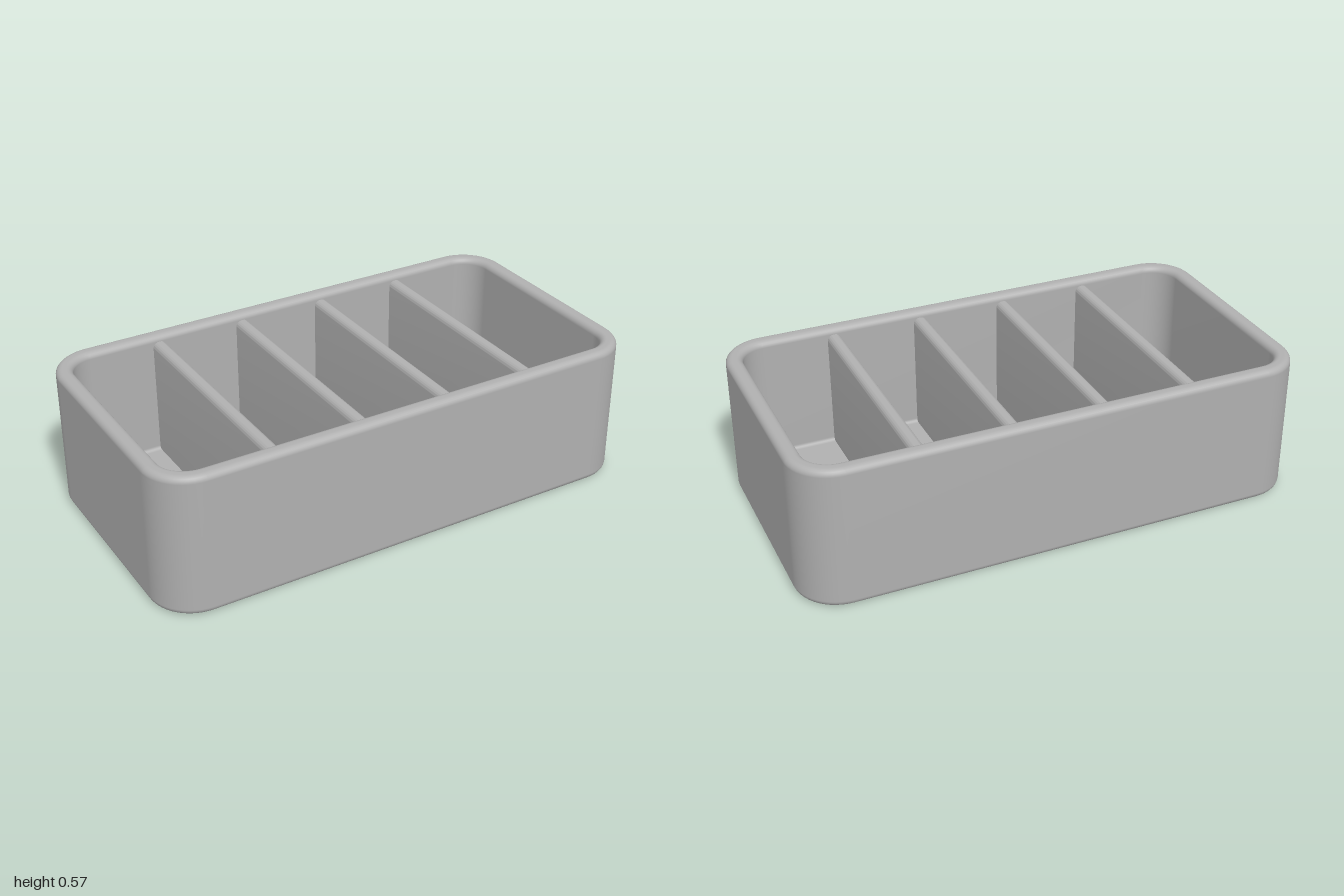
import * as THREE from 'three';
import { toCreasedNormals } from 'three/addons/utils/BufferGeometryUtils.js';

const W = 1, D = 0.53, H = 0.567;            // half width, half depth, height
const WALL = 0.065, FLOOR = 0.065, CORNER = 0.17, EDGE = 0.025;

// Rounded rectangle outline in x/z, pulled in by inset
function outline(inset, y) {
  const r = CORNER - inset, n = 12, pts = [];
  [[1, 1], [-1, 1], [-1, -1], [1, -1]].forEach(([sx, sz], q) => {
    for (let k = 0; k <= n; k++) {
      const a = (q + k / n) * Math.PI / 2;
      pts.push([sx * (W - CORNER) + r * Math.cos(a), y, sz * (D - CORNER) + r * Math.sin(a)]);
    }
  });
  return pts;
}

// Quarter-round steps of the wall section as [inset, y]
function arc(cx, cy, r, from, to) {
  return Array.from({ length: 7 }, (_, k) => {
    const a = from + (to - from) * k / 6;
    return [cx + r * Math.cos(a), cy + r * Math.sin(a)];
  });
}

// One closed skin: underside, outer wall, rim, inner wall, tray floor
function trayGeometry() {
  const P = Math.PI;
  const section = [
    ...arc(EDGE, EDGE, EDGE, 1.5 * P, P),
    ...arc(EDGE, H - EDGE, EDGE, P, P / 2),
    ...arc(WALL - EDGE, H - EDGE, EDGE, P / 2, 0),
    ...arc(WALL + 0.015, FLOOR + 0.015, 0.015, P, 1.5 * P),
  ];
  const rings = section.map(([inset, y]) => outline(inset, y));
  const n = rings[0].length;
  const centre = y => Array.from({ length: n }, () => [0, y, 0]);
  rings.unshift(centre(0));
  rings.push(centre(FLOOR));
  const index = [];
  for (let i = 0; i < rings.length - 1; i++) {
    for (let j = 0; j < n; j++) {
      const a = i * n + j, b = i * n + (j + 1) % n, c = a + n, d = b + n;
      index.push(a, c, b, b, c, d);
    }
  }
  const geo = new THREE.BufferGeometry();
  geo.setAttribute('position', new THREE.Float32BufferAttribute(rings.flat(2), 3));
  geo.setIndex(index);
  geo.computeVertexNormals();
  return geo;
}

// Thin upright wall with a rounded top
function dividerGeometry() {
  const h = 0.0275, top = 0.542, r = 0.025, length = 0.945;
  const s = new THREE.Shape();
  s.moveTo(-h, FLOOR - 0.01);
  s.lineTo(h, FLOOR - 0.01);
  s.lineTo(h, top - r);
  s.absarc(h - r, top - r, r, 0, Math.PI / 2, false);
  s.absarc(r - h, top - r, r, Math.PI / 2, Math.PI, false);
  s.closePath();
  const geo = new THREE.ExtrudeGeometry(s, { depth: length, bevelEnabled: false, curveSegments: 8 });
  geo.translate(0, 0, -length / 2);
  return toCreasedNormals(geo, 0.6);
}

export function createModel() {
  const group = new THREE.Group();
  group.name = 'dividedTray';
  const grey = new THREE.MeshStandardMaterial({ color: 0xb0b0b0 });
  grey.name = 'grey';

  const tray = new THREE.Mesh(trayGeometry(), grey);
  tray.name = 'tray';
  group.add(tray);

  // Four dividers make five compartments
  const geo = dividerGeometry();
  for (let i = 0; i < 4; i++) {
    const divider = new THREE.Mesh(geo, grey);
    divider.name = `divider${i + 1}`;
    divider.position.x = (i - 1.5) * 0.362;
    group.add(divider);
  }
  return group;
}
